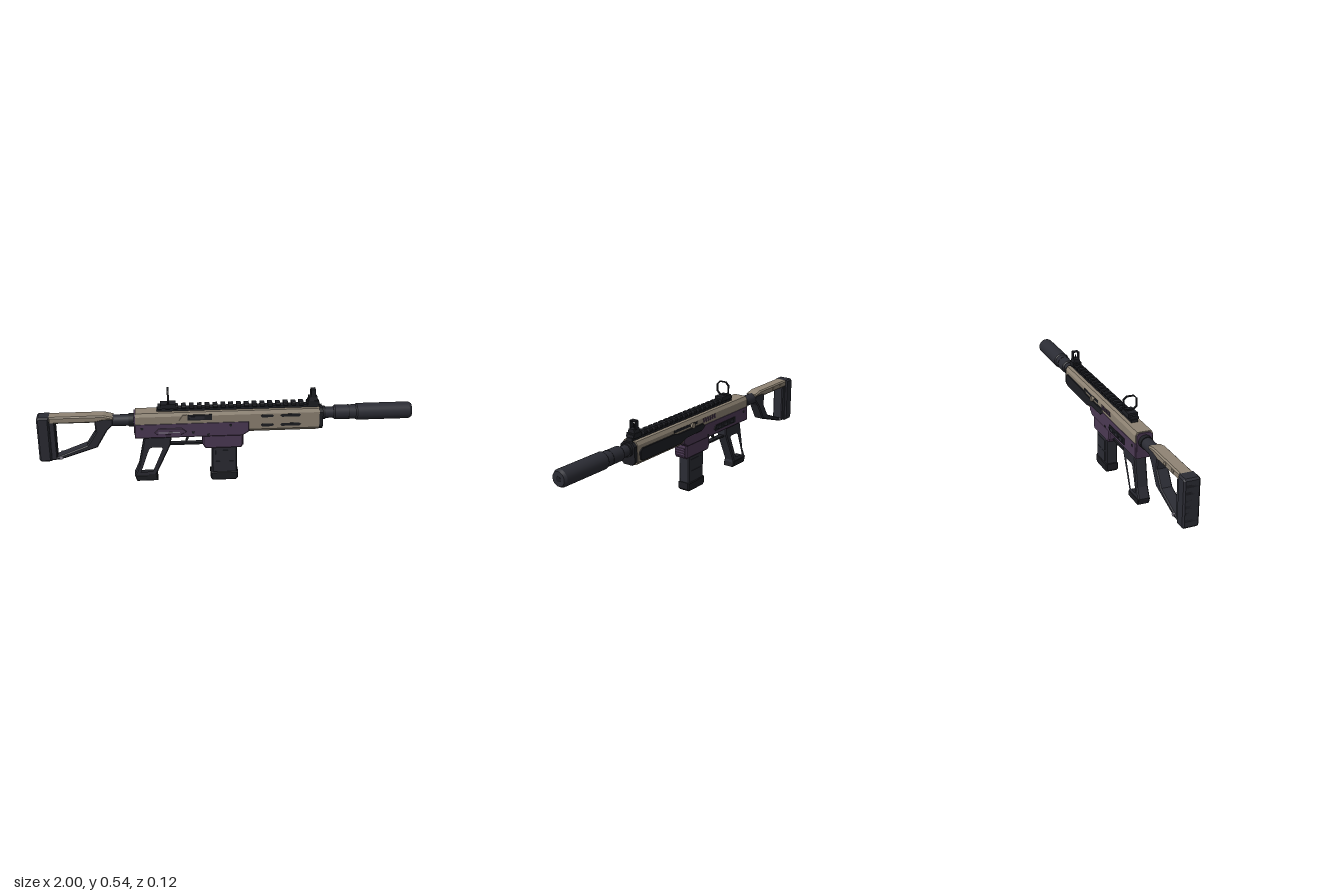
import * as THREE from 'three';

const mat = (name, color, extra = {}) => {
  const m = new THREE.MeshStandardMaterial({ color, ...extra });
  m.name = name;
  return m;
};

export function createModel() {
  const dark = mat('charcoal', 0x2b2c34);
  const black = mat('black', 0x1d1e23);
  const tan = mat('tan', 0x8f8474);
  const purple = mat('purple', 0x4d3a55);
  const steel = mat('steel', 0x8d8894);

  const root = new THREE.Group();
  root.name = 'rifleProp';
  root.position.z = 0.008;

  const add = (name, geo, material) => {
    const m = new THREE.Mesh(geo, material);
    m.name = name;
    root.add(m);
    return m;
  };
  const toShape = (pts, holes = []) => {
    const s = new THREE.Shape(pts.map(p => new THREE.Vector2(...p)));
    holes.forEach(h => s.holes.push(new THREE.Path(h.map(p => new THREE.Vector2(...p)))));
    return s;
  };
  // Side outline (x, y) given thickness across z, with chamfered edges
  const slab = (name, pts, w, material, { holes = [], bevel = 0, z = 0 } = {}) => {
    const depth = w - 2 * bevel;
    const g = new THREE.ExtrudeGeometry(toShape(pts, holes), {
      depth, bevelEnabled: bevel > 0, bevelSize: bevel, bevelOffset: -bevel,
      bevelThickness: bevel, bevelSegments: 1,
    });
    g.translate(0, 0, z - depth / 2);
    return add(name, g, material);
  };
  // Cross-section (z, y) drawn from x0 to x1
  const prism = (name, pts, x0, x1, material, holes = []) => {
    const g = new THREE.ExtrudeGeometry(toShape(pts, holes), { depth: x1 - x0, bevelEnabled: false });
    g.rotateY(Math.PI / 2).translate(x0, 0, 0);
    return add(name, g, material);
  };
  const box = (name, x0, x1, y0, y1, z0, z1, material) => {
    const g = new THREE.BoxGeometry(x1 - x0, y1 - y0, z1 - z0);
    g.translate((x0 + x1) / 2, (y0 + y1) / 2, (z0 + z1) / 2);
    return add(name, g, material);
  };
  // Round section along x
  const AXIS = 0.371;
  const tube = (name, x0, x1, r0, r1, material, y = AXIS, seg = 28) => {
    const g = new THREE.CylinderGeometry(r1, r0, x1 - x0, seg);
    g.rotateZ(-Math.PI / 2).translate((x0 + x1) / 2, y, 0);
    return add(name, g, material);
  };
  // Round pin along z
  const pin = (name, x, y, r, z0, z1, material) => {
    const g = new THREE.CylinderGeometry(r, r, z1 - z0, 14);
    g.rotateX(Math.PI / 2).translate(x, y, (z0 + z1) / 2);
    return add(name, g, material);
  };
  const octagon = (w, y0, y1, c) => [
    [-w + c, y0], [w - c, y0], [w, y0 + c], [w, y1 - c],
    [w - c, y1], [-w + c, y1], [-w, y1 - c], [-w, y0 + c],
  ];

  // Stock: butt pad, open frame, cheek plate and tube
  slab('buttPad', [[-1, 0.16], [-0.99, 0.15], [-0.935, 0.15], [-0.935, 0.404], [-0.99, 0.404], [-1, 0.395]],
    0.084, dark, { bevel: 0.008 });
  for (let i = 0; i < 6; i++)
    box('buttPadRib', -1, -0.996, 0.185 + i * 0.035, 0.2 + i * 0.035, -0.032, 0.032, black);
  slab('stockFrame',
    [[-0.94, 0.152], [-0.89, 0.155], [-0.69, 0.22], [-0.635, 0.315], [-0.6, 0.352], [-0.6, 0.385], [-0.94, 0.385]],
    0.064, dark, {
      bevel: 0.006,
      holes: [[[-0.905, 0.17], [-0.905, 0.372], [-0.7, 0.372], [-0.695, 0.31], [-0.745, 0.232]]],
    });
  slab('cheekPlate', [[-0.937, 0.366], [-0.7, 0.366], [-0.655, 0.376], [-0.6, 0.378], [-0.6, 0.392], [-0.65, 0.404], [-0.937, 0.404]],
    0.07, tan, { bevel: 0.007 });
  for (const x of [-0.88, -0.8]) box('cheekPlateClip', x, x + 0.02, 0.38, 0.394, -0.038, 0.038, tan);
  pin('slingPin', -0.885, 0.168, 0.009, -0.036, 0.036, steel);
  tube('bufferTube', -0.66, -0.48, 0.031, 0.031, dark, 0.363);
  tube('bufferCollar', -0.52, -0.48, 0.035, 0.035, black, 0.363);

  // Receiver
  prism('upperReceiver', [[-0.048, 0.35], [0.048, 0.35], [0.048, 0.395], [0.038, 0.413], [-0.038, 0.413], [-0.048, 0.395]],
    -0.485, 0.13, tan);
  slab('lowerReceiver',
    [[-0.49, 0.272], [-0.15, 0.272], [0.085, 0.272], [0.12, 0.296], [0.12, 0.357], [-0.49, 0.357]],
    0.099, purple, { bevel: 0.005 });
  prism('receiverEndPlate', octagon(0.042, 0.3, 0.408, 0.012), -0.493, -0.48, purple);
  slab('magazineWell',
    [[-0.13, 0.278], [-0.13, 0.222], [-0.115, 0.197], [0.078, 0.197], [0.086, 0.21], [0.086, 0.278]],
    0.08, purple, { bevel: 0.006 });
  for (let i = 0; i < 4; i++)
    box('magazineWellRib', 0.08, 0.091, 0.208 + i * 0.014, 0.215 + i * 0.014, -0.03, 0.03, purple);

  // Receiver details on the front side
  box('ejectionPort', -0.21, -0.08, 0.37, 0.401, 0.042, 0.0495, black);
  box('ejectionPortBolt', -0.2, -0.12, 0.376, 0.392, 0.045, 0.051, dark);
  slab('caseDeflector', [[-0.255, 0.37], [-0.215, 0.37], [-0.215, 0.402], [-0.235, 0.402]], 0.01, tan, { z: 0.048 });
  slab('sideGuide', [[-0.385, 0.305], [-0.365, 0.292], [-0.24, 0.292], [-0.215, 0.308], [-0.24, 0.328], [-0.365, 0.328]],
    0.008, purple, { z: 0.05, bevel: 0.002 });
  box('sideGuideSlot', -0.365, -0.25, 0.303, 0.308, 0.05, 0.0555, steel);
  for (const [x, y] of [[-0.45, 0.33], [-0.18, 0.3], [0.02, 0.335], [-0.1, 0.285]])
    pin('receiverPin', x, y, 0.007, -0.051, 0.051, black);

  // Receiver details on the back side
  slab('selectorPanel', [[-0.36, 0.292], [-0.17, 0.292], [-0.155, 0.305], [-0.17, 0.325], [-0.36, 0.325]],
    0.006, black, { z: -0.05 });
  for (const x of [-0.34, -0.28, -0.22])
    slab('selectorLever', [[x, 0.298], [x + 0.04, 0.302], [x + 0.04, 0.314], [x, 0.318]], 0.008, dark, { z: -0.054 });
  for (let i = 0; i < 6; i++)
    slab('grille', [0, 0.006, 0.016, 0.01].map((d, k) => [-0.17 + i * 0.02 + d, k === 0 || k === 3 ? 0.368 : 0.392]).reverse(),
      0.006, purple, { z: -0.048 });
  box('chargingSlot', 0.0, 0.2, 0.378, 0.392, -0.0495, -0.045, black);
  pin('chargingStem', 0.055, 0.385, 0.008, -0.062, -0.04, tan);
  pin('chargingKnob', 0.055, 0.385, 0.015, -0.068, -0.057, tan);

  // Handguard
  prism('handguard', [[-0.032, 0.29], [0.032, 0.29], [0.048, 0.308], [0.048, 0.395], [0.038, 0.413],
    [-0.038, 0.413], [-0.048, 0.395], [-0.048, 0.308]], 0.115, 0.495, tan);
  prism('handguardCap', octagon(0.045, 0.292, 0.41, 0.018), 0.49, 0.515, black);
  for (const y of [0.33, 0.383])
    for (const [a, b] of [[0.18, 0.25], [0.285, 0.395]])
      slab('ventSlot', [[a, y], [a + 0.008, y - 0.008], [b - 0.008, y - 0.008], [b, y], [b - 0.008, y + 0.008], [a + 0.008, y + 0.008]],
        0.005, black, { z: 0.047 });
  slab('handguardPanel',
    [[-0.07, 0.35], [-0.04, 0.33], [0.1, 0.326], [0.15, 0.308], [0.46, 0.308], [0.48, 0.322], [0.48, 0.362], [0.462, 0.376], [0.2, 0.376], [0.17, 0.368], [-0.05, 0.368]],
    0.01, black, { z: -0.049, bevel: 0.002 });

  // Accessory rail
  box('railBase', -0.37, 0.5, 0.405, 0.428, -0.018, 0.018, black);
  for (let i = 0; i < 21; i++) {
    const x = -0.365 + i * 0.0418;
    prism('railTooth', octagon(0.024, 0.424, 0.444, 0.005), x, x + 0.024, black);
  }

  // Rear sight ring and base
  box('rearSightBase', -0.35, -0.27, 0.43, 0.455, -0.026, 0.026, black);
  prism('rearSightRing', octagon(0.039, 0.455, 0.535, 0.018), -0.314, -0.304, black, [octagon(0.033, 0.461, 0.529, 0.015)]);

  // Front sight
  box('frontSightBase', 0.435, 0.49, 0.425, 0.45, -0.025, 0.025, black);
  prism('frontSightBody', [[-0.022, 0.448], [0.022, 0.448], [0.016, 0.47], [-0.016, 0.47]], 0.44, 0.485, black);
  prism('frontSightHood', octagon(0.019, 0.465, 0.512, 0.003), 0.45, 0.475, black, [octagon(0.0145, 0.469, 0.507, 0.002)]);
  tube('frontSightPost', 0, 0.03, 0.004, 0.001, black, 0, 8).rotateZ(Math.PI / 2).position.set(0.462, 0.467, 0);

  // Barrel and end tube
  tube('barrel', 0.51, 0.58, 0.03, 0.03, dark);
  tube('barrelCollar', 0.513, 0.53, 0.036, 0.036, black);
  tube('muzzleNeckChamfer', 0.575, 0.583, 0.032, 0.039, dark);
  tube('muzzleNeck', 0.583, 0.7, 0.039, 0.039, dark);
  tube('muzzleSeam', 0.655, 0.66, 0.0402, 0.0402, black);
  tube('muzzleTubeRearChamfer', 0.695, 0.702, 0.039, 0.045, dark);
  tube('muzzleTube', 0.702, 0.985, 0.045, 0.045, dark);
  tube('muzzleTubeFrontChamfer', 0.985, 0.999, 0.045, 0.037, dark);
  tube('muzzleBore', 0.99, 1.0, 0.014, 0.014, black);

  // Open grip
  slab('grip',
    [[-0.44, 0.275], [-0.295, 0.275], [-0.3, 0.225], [-0.32, 0.18], [-0.38, 0.05], [-0.375, 0.012], [-0.49, 0.012], [-0.5, 0.045], [-0.475, 0.1]],
    0.064, dark, {
      bevel: 0.006,
      holes: [[[-0.424, 0.2], [-0.408, 0.215], [-0.345, 0.215], [-0.338, 0.2], [-0.397, 0.06], [-0.472, 0.058]]],
    });
  slab('gripBase', [[-0.5, 0.045], [-0.488, 0.01], [-0.373, 0.01], [-0.38, 0.045]], 0.068, black, { bevel: 0.004 });

  // Trigger and guard
  slab('triggerGuard', [[-0.31, 0.212], [-0.12, 0.212], [-0.12, 0.222], [-0.31, 0.222]], 0.03, black);
  slab('trigger', [[-0.225, 0.275], [-0.2, 0.275], [-0.203, 0.25], [-0.212, 0.228], [-0.222, 0.23], [-0.214, 0.25]], 0.014, black);

  // Magazine
  slab('magazine', [[-0.08, 0.045], [0.055, 0.045], [0.055, 0.21], [-0.08, 0.21]], 0.066, dark, { bevel: 0.006 });
  box('magazineFrontPanel', 0.053, 0.057, 0.05, 0.195, -0.026, 0.026, dark);
  for (const s of [-1, 1])
    for (const y of [0.06, 0.125])
      box('magazineSidePanel', -0.06, 0.035, y, y + 0.055, s * 0.033 - 0.002, s * 0.033 + 0.002, dark);
  slab('magazineBase', [[-0.087, 0.05], [-0.087, 0.012], [-0.075, 0], [0.05, 0], [0.062, 0.012], [0.062, 0.05]].map(([x, y]) => [x, y]),
    0.07, black, { bevel: 0.005 });

  const model = new THREE.Group();
  model.name = 'model';
  model.add(root);
  return model;
}
